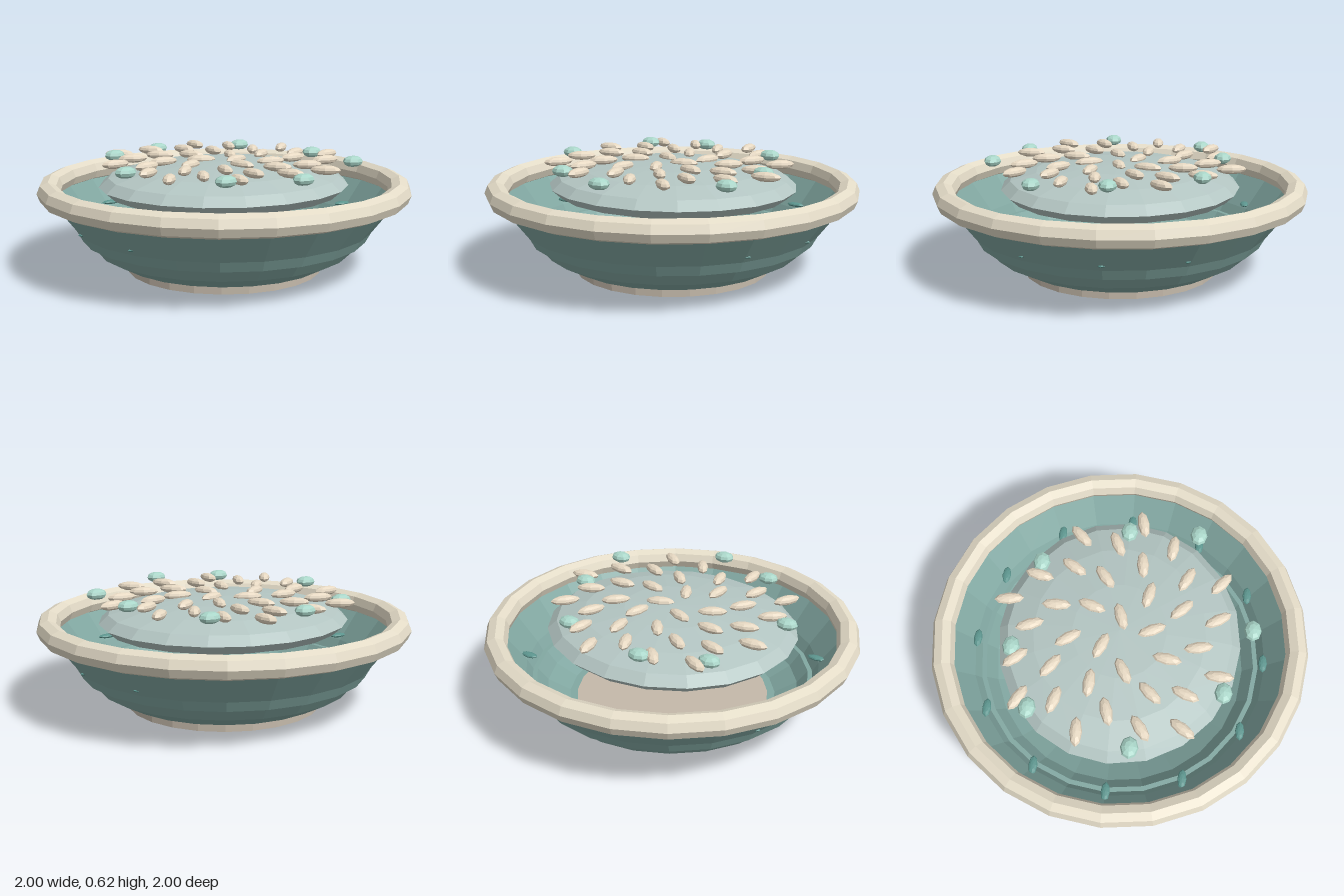
import * as THREE from 'three';

const SIDES = 24;
const GOLDEN = 2.399;

const paint = (color, side = THREE.FrontSide) =>
  new THREE.MeshStandardMaterial({ color, flatShading: true, side });

export function createModel() {
  const model = new THREE.Group();
  const glaze = paint(0x82a8a2, THREE.DoubleSide);
  const cream = paint(0xe4dcc8);
  const clay = paint(0xc4b9aa);
  const broth = paint(0xb4c6c3);
  const rice = paint(0xe6d8c2);
  const mint = paint(0xaad6c9);
  const teal = paint(0x5c958e);

  function add(name, geometry, material, parent = model) {
    const mesh = new THREE.Mesh(geometry, material);
    mesh.name = name;
    parent.add(mesh);
    return mesh;
  }
  function addGroup(name) {
    const group = new THREE.Group();
    group.name = name;
    model.add(group);
    return group;
  }

  // Foot: short disc that also closes the bowl's floor
  add('foot', new THREE.CylinderGeometry(0.53, 0.53, 0.05, SIDES), clay).position.y = 0.025;

  // Bowl: thin stepped shell
  const profile = [
    [0.53, 0.05], [0.57, 0.05], [0.69, 0.115], [0.745, 0.185],
    [0.77, 0.185], [0.8, 0.24], [0.93, 0.41],
  ].map(([r, y]) => new THREE.Vector2(r, y));
  add('bowl', new THREE.LatheGeometry(profile, SIDES), glaze);

  // Rim: faceted ring
  const rim = add('rim', new THREE.TorusGeometry(0.94, 0.06, 8, SIDES), cream);
  rim.rotation.x = -Math.PI / 2;
  rim.position.y = 0.447;

  // Filling: flattened dome
  const filling = add('filling', new THREE.SphereGeometry(1, 20, 8), broth);
  filling.scale.set(0.68, 0.12, 0.64);
  filling.position.y = 0.465;

  // Grains: spiral of slim seeds, each turned with its place in the spiral
  const bead = new THREE.SphereGeometry(1, 8, 6);
  const grains = addGroup('grains');
  for (let i = 0; i < 36; i++) {
    const r = 0.106 * Math.sqrt(i + 0.5);
    const a = i * GOLDEN;
    const grain = add('grain', bead, rice, grains);
    grain.scale.set(0.078, 0.025, 0.032);
    grain.position.set(r * Math.cos(a), 0.587, -r * Math.sin(a));
    grain.rotation.y = a + 0.35;
  }

  // Garnish: rounder pieces near the edge of the filling
  const garnish = addGroup('garnish');
  for (let i = 0; i < 8; i++) {
    const r = 0.565 + 0.0615 * (i % 3);
    const a = i * GOLDEN;
    const piece = add('garnishPiece', bead, mint, garnish);
    piece.scale.set(0.058, 0.03, 0.046);
    piece.position.set(r * Math.cos(a), 0.59, -r * Math.sin(a));
  }

  // Studs: twelve small lozenges inside the wall, tips just piercing it at the sides
  const studs = addGroup('wallStuds');
  for (let i = 0; i < 12; i++) {
    const a = (i / 12) * Math.PI * 2;
    const stud = add('wallStud', bead, teal, studs);
    stud.scale.set(0.052, 0.012, 0.024);
    stud.position.set(0.785 * Math.cos(a), 0.27, 0.785 * Math.sin(a));
  }

  return model;
}
